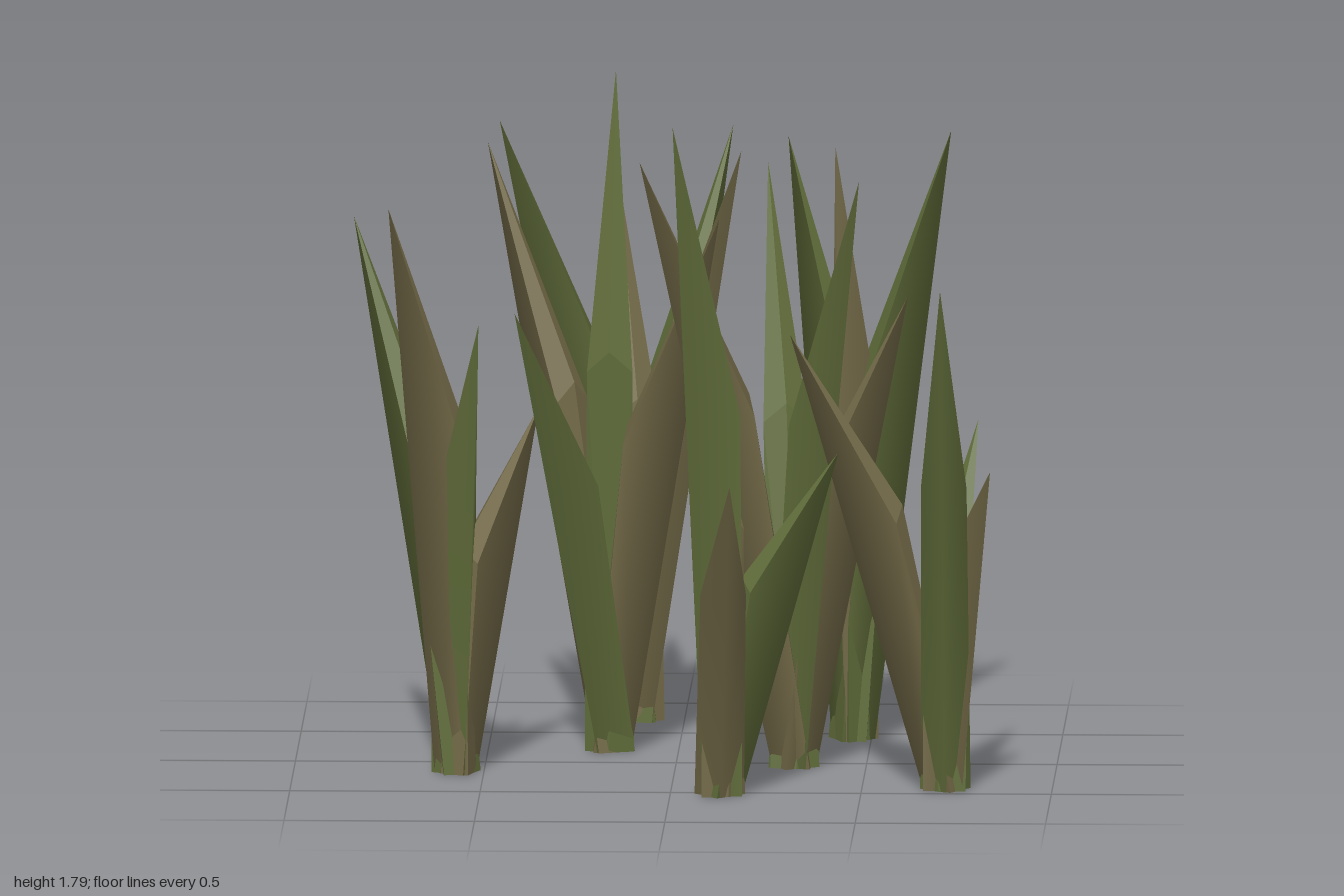
import * as THREE from 'three';
import { mergeGeometries } from 'three/addons/utils/BufferGeometryUtils.js';

const materials = {
  g: new THREE.MeshStandardMaterial({ color: 0x5f6b39, side: THREE.DoubleSide }),
  b: new THREE.MeshStandardMaterial({ color: 0x736a48, side: THREE.DoubleSide }),
};

// Each tuft: root centre [x, z] and blade tips [x, y, z, colour]
const tufts = [
  { root: [-0.12, -0.72], tips: [[-0.18, 1.4, -0.97, 'b'], [0.12, 1.54, -1, 'g'], [-0.48, 1.62, -0.54, 'g'], [0.16, 1.57, -0.36, 'b']] },
  { root: [-0.18, -0.21], tips: [[-0.51, 1.57, -0.5, 'b'], [-0.17, 1.78, -0.39, 'g'], [0.11, 1.43, -0.1, 'b'], [-0.42, 1.22, 0.17, 'g']] },
  { root: [-0.57, 0.17], tips: [[-0.85, 1.43, -0.12, 'g'], [-0.36, 0.95, 0.04, 'b'], [-0.75, 1.5, 0.2, 'b'], [-0.51, 1.21, 0.32, 'g']] },
  { root: [0.31, 0.05], tips: [[0.23, 1.54, -0.37, 'g'], [0.61, 1.25, 0.05, 'b'], [-0.09, 1.63, 0.22, 'b'], [0.49, 1.6, 0.33, 'g']] },
  { root: [0.45, -0.42], tips: [[0.65, 1.33, -0.67, 'g'], [0.71, 1.62, -0.4, 'g'], [0.28, 1.59, -0.49, 'g'], [0.41, 1.6, -0.26, 'b']] },
  { root: [0.13, 0.53], tips: [[0.05, 1.24, 0.39, 'b'], [0.44, 0.9, 0.46, 'g'], [0.01, 1.79, 0.65, 'g'], [0.17, 0.89, 1, 'b']] },
  { root: [0.72, 0.42], tips: [[0.8, 0.95, 0.21, 'g'], [0.84, 0.86, 0.53, 'b'], [0.31, 1.2, 0.38, 'b'], [0.72, 1.4, 0.91, 'g']] },
];

// Two leaf halves either side of a centre line; each line is [base point, middle point]
function fold(centre, tip, right, left) {
  const geometry = new THREE.BufferGeometry().setFromPoints([...centre, tip, ...right, ...left]);
  geometry.setIndex([
    0, 3, 4, 0, 4, 1, 1, 4, 2,
    0, 6, 5, 0, 1, 6, 1, 2, 6,
  ]);
  return geometry;
}

// A leaf with a straight outer keel, side edges and an inner ridge that bends at mid height
function bladeGeometry([rx, rz], [tx, ty, tz]) {
  const out = new THREE.Vector3(tx - rx, 0, tz - rz).normalize();
  const side = new THREE.Vector3(out.z, 0, -out.x);
  const tip = new THREE.Vector3(tx, ty, tz);
  const keelBase = new THREE.Vector3(rx, 0, rz).addScaledVector(out, 0.06);
  const along = tip.clone().sub(keelBase).normalize();
  const inward = new THREE.Vector3().crossVectors(side, along).normalize();
  if (inward.dot(out) > 0) inward.negate();

  // line running from the base to mid height, set in from the keel by two depths
  const line = (baseDepth, height, midDepth, baseHalf, midHalf) => [
    keelBase.clone().addScaledVector(out, -baseDepth).addScaledVector(side, baseHalf),
    keelBase.clone().lerp(tip, height).addScaledVector(inward, midDepth).addScaledVector(side, midHalf),
  ];
  const keel = line(0, 0.59, 0, 0, 0);
  const ridge = line(0.11, 0.59, 0.16, 0, 0);
  const right = line(0.08, 0.56, 0.14, 0.065, 0.06);
  const left = line(0.08, 0.56, 0.14, -0.065, -0.06);

  // smooth outside, faceted inside
  const outer = fold(keel, tip, right, left).toNonIndexed();
  const inner = fold(ridge, tip, left, right).toNonIndexed();
  const smooth = fold(keel, tip, right, left);
  smooth.computeVertexNormals();
  outer.setAttribute('normal', smooth.toNonIndexed().getAttribute('normal'));
  inner.computeVertexNormals();
  return mergeGeometries([outer, inner]);
}

export function createModel() {
  const model = new THREE.Group();
  model.name = 'grassPatch';
  tufts.forEach(({ root, tips }, i) => {
    const tuft = new THREE.Group();
    tuft.name = `tuft${i + 1}`;
    tips.forEach((tip, j) => {
      const blade = new THREE.Mesh(bladeGeometry(root, tip), materials[tip[3]]);
      blade.name = `blade${j + 1}`;
      tuft.add(blade);
    });
    model.add(tuft);
  });
  return model;
}
